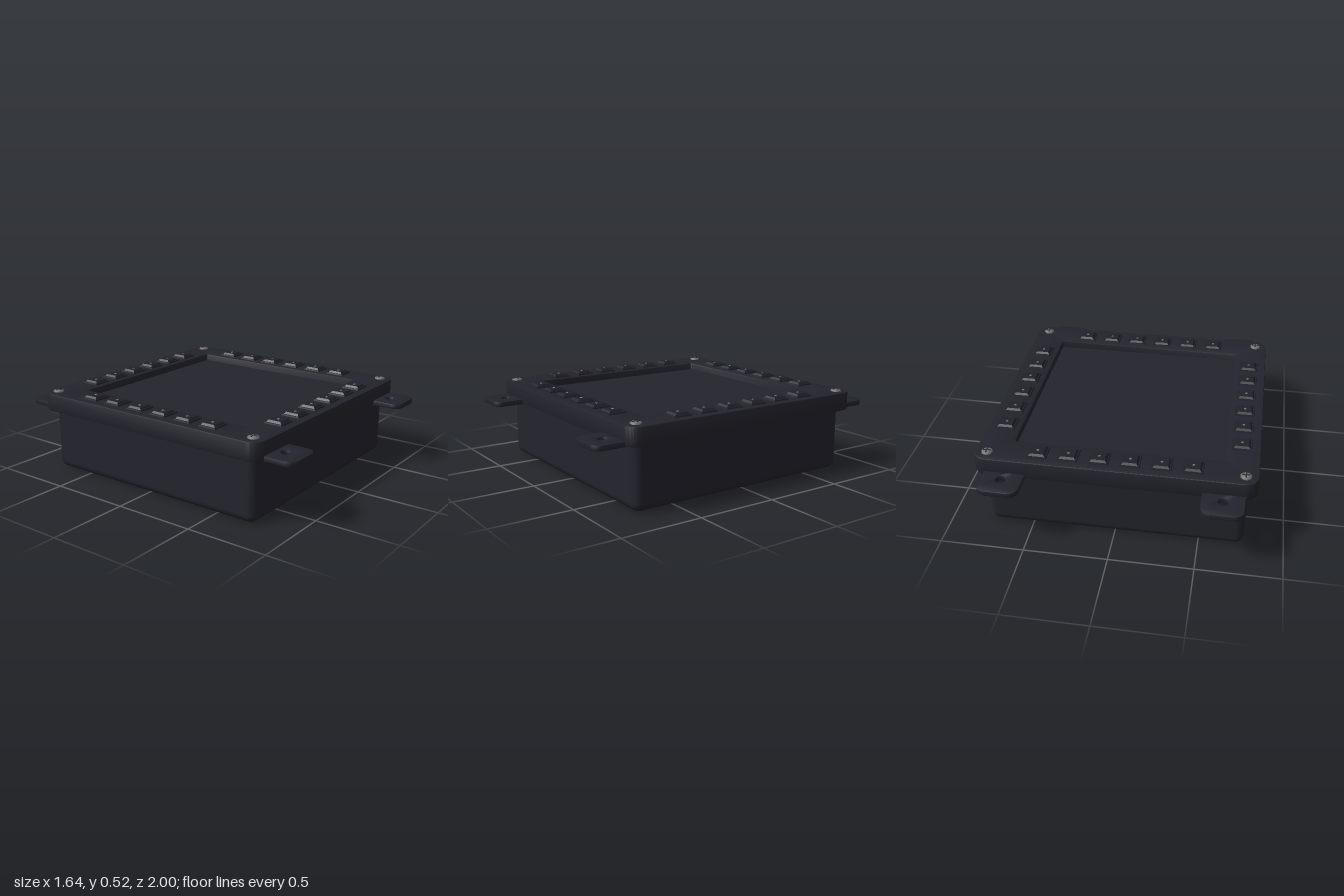
import * as THREE from 'three';
import { toCreasedNormals } from 'three/addons/utils/BufferGeometryUtils.js';
import { RoundedBoxGeometry } from 'three/addons/geometries/RoundedBoxGeometry.js';

const mat = (name, color) => {
  const m = new THREE.MeshStandardMaterial({ color });
  m.name = name;
  return m;
};

// Rounded rectangle outline; r0 rounds the low-y corners, r1 the high-y corners
function roundedRect(x0, y0, x1, y1, r0, r1) {
  const s = new THREE.Shape();
  s.moveTo(x0 + r0, y0);
  s.lineTo(x1 - r0, y0);
  if (r0) s.absarc(x1 - r0, y0 + r0, r0, -Math.PI / 2, 0);
  s.lineTo(x1, y1 - r1);
  if (r1) s.absarc(x1 - r1, y1 - r1, r1, 0, Math.PI / 2);
  s.lineTo(x0 + r1, y1);
  if (r1) s.absarc(x0 + r1, y1 - r1, r1, Math.PI / 2, Math.PI);
  s.lineTo(x0, y0 + r0);
  if (r0) s.absarc(x0 + r0, y0 + r0, r0, Math.PI, Math.PI * 1.5);
  return s;
}

// Slab lying flat between heights y0 and y1, with a small bevelled edge
function slab(shape, y0, y1, bevel) {
  const g = new THREE.ExtrudeGeometry(shape, {
    depth: y1 - y0 - 2 * bevel, bevelEnabled: true, bevelThickness: bevel,
    bevelSize: bevel, bevelOffset: -bevel, bevelSegments: 2, curveSegments: 10,
  });
  g.translate(0, 0, bevel).rotateX(-Math.PI / 2).translate(0, y0, 0);
  return toCreasedNormals(g, 0.5);
}

// Square block tapering from width w0 at y0 to w1 at y1
function frustum(w0, w1, y0, y1) {
  const g = new THREE.CylinderGeometry(w1 * Math.SQRT1_2, w0 * Math.SQRT1_2, y1 - y0, 4);
  g.rotateY(Math.PI / 4).translate(0, (y0 + y1) / 2, 0);
  return toCreasedNormals(g, 0.2);
}

export function createModel() {
  const model = new THREE.Group();
  model.name = 'displayUnit';
  const casing = mat('casing', 0x23232d);
  const key = mat('key', 0x20202a);
  const metal = mat('screw metal', 0x707073);
  const slot = mat('screw slot', 0x2c2c32);

  const add = (name, geometry, material, parent = model) => {
    const m = new THREE.Mesh(geometry, material);
    m.name = name;
    parent.add(m);
    return m;
  };

  // Housing with rounded edges; its top is hidden under the screen
  add('housing', new RoundedBoxGeometry(1.53, 0.44, 1.53, 5, 0.05).translate(0, 0.22, 0), casing);

  // Front frame with the screen opening
  const frame = roundedRect(-0.82, -0.82, 0.82, 0.82, 0.08, 0.08);
  frame.holes.push(roundedRect(-0.615, -0.615, 0.615, 0.615, 0.015, 0.015));
  add('frame', slab(frame, 0.388, 0.5, 0.006), casing);
  add('screen', new THREE.BoxGeometry(1.25, 0.02, 1.25).translate(0, 0.445, 0), casing);

  // Mounting tabs, two at each end
  for (const x of [-0.632, 0.632]) {
    const tab = roundedRect(x - 0.122, 0.72, x + 0.122, 1, 0, 0.06);
    const hole = new THREE.Path();
    hole.absarc(x, 0.88, 0.031, 0, Math.PI * 2, true);
    tab.holes.push(hole);
    const geometry = slab(tab, 0.383, 0.415, 0.004);
    for (const turn of [0, Math.PI]) add('mountingTab', geometry, casing).rotation.y = turn;
  }

  // Six keys along every side
  const keyBase = frustum(0.12, 0.112, 0.495, 0.508);
  const keyCap = frustum(0.098, 0.078, 0.507, 0.52);
  const keyDot = new THREE.CylinderGeometry(0.007, 0.009, 0.003, 8).translate(0, 0.521, 0);
  for (let side = 0; side < 4; side++) {
    const row = new THREE.Group();
    row.name = 'keyRow';
    row.rotation.y = side * Math.PI / 2;
    model.add(row);
    for (let i = 0; i < 6; i++) {
      const button = new THREE.Group();
      button.name = 'key';
      button.position.set((i - 2.5) * 0.18, 0, 0.71);
      row.add(button);
      add('keyBase', keyBase, key, button);
      add('keyCap', keyCap, key, button);
      add('keyDot', keyDot, metal, button);
    }
  }

  // Corner screws with cross slots
  const profile = [[0.033, 0.497], [0.033, 0.505], [0.026, 0.511], [0.014, 0.514], [0, 0.515]]
    .map(([r, y]) => new THREE.Vector2(r, y));
  const head = new THREE.LatheGeometry(profile, 20);
  for (const x of [-0.745, 0.745]) for (const z of [-0.745, 0.745]) {
    const screw = new THREE.Group();
    screw.name = 'screw';
    screw.position.set(x, 0, z);
    model.add(screw);
    add('screwHead', head, metal, screw);
    add('screwSlot', new THREE.BoxGeometry(0.046, 0.005, 0.008).translate(0, 0.513, 0), slot, screw);
    add('screwSlot', new THREE.BoxGeometry(0.008, 0.005, 0.046).translate(0, 0.5131, 0), slot, screw);
  }
  return model;
}
